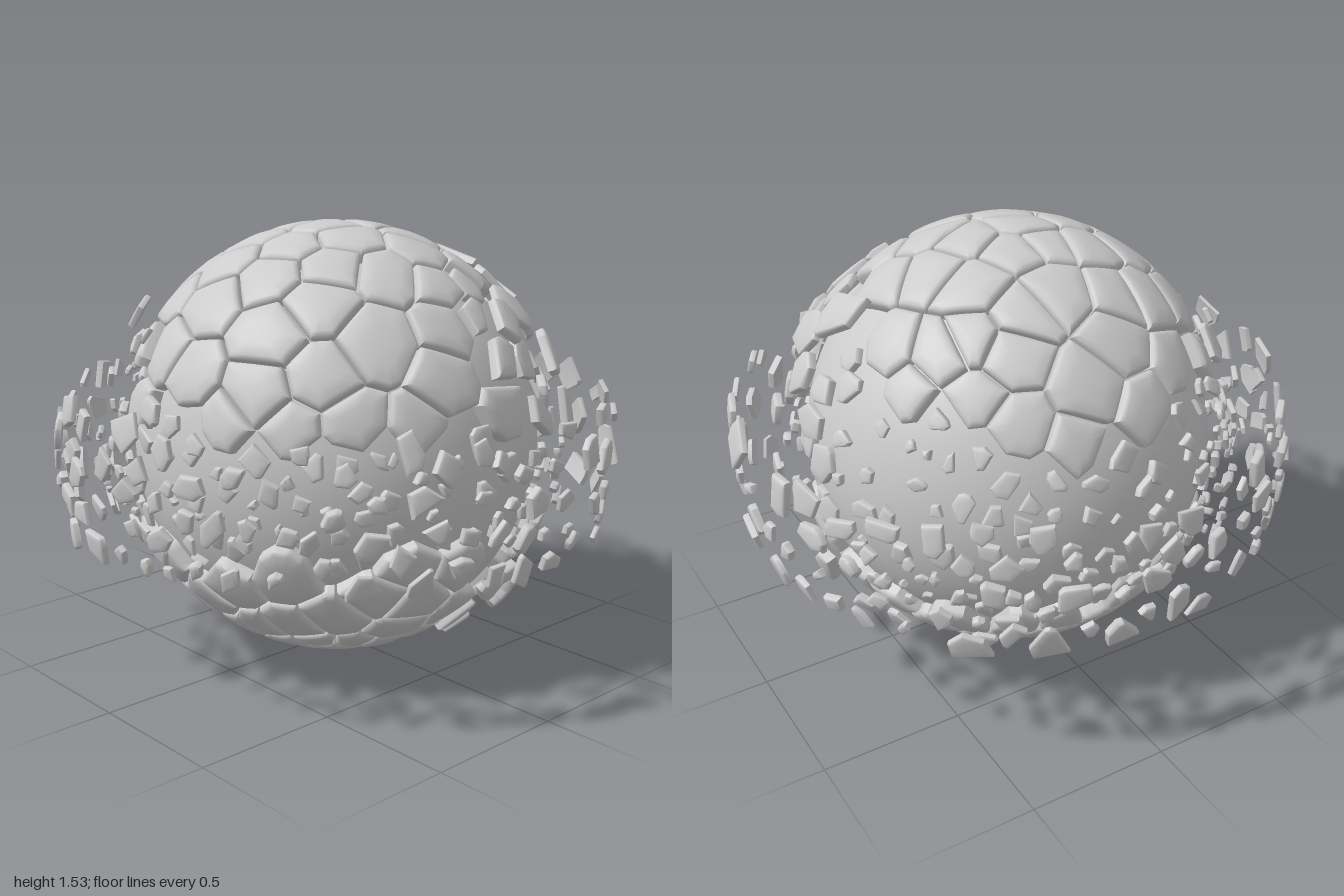
import * as THREE from 'three';
import { mergeGeometries, toCreasedNormals } from 'three/addons/utils/BufferGeometryUtils.js';

const V = (x, y, z) => new THREE.Vector3(x, y, z);
const R = 0.765;          // outer radius of the intact shell
const CORE = 0.714;       // radius of the inner ball

// seeded random numbers
let state = 7;
function rnd(a = 0, b = 1) {
  state = (state * 1664525 + 1013904223) % 4294967296;
  return a + (b - a) * state / 4294967296;
}
function randomDir(minY = -1, maxY = 1) {
  const y = rnd(minY, maxY), a = rnd(0, Math.PI * 2), r = Math.sqrt(1 - y * y);
  return V(r * Math.cos(a), y, r * Math.sin(a));
}

// centres (x, z) of the large plates on the upper cap
const CAP = [
  [-.32, -.43], [-.59, -.32], [-.45, -.26], [-.35, -.34], [-.03, -.32], [.19, -.2], [-.37, -.17],
  [-.35, -.02], [-.61, -.05], [-.53, .1], [-.13, -.05], [-.13, .07], [.01, .07], [.18, .12],
  [.33, -.1], [-.16, .22], [-.39, .19], [-.56, .32], [-.37, .32], [.08, .27], [-.11, .4],
  [.13, .42], [-.29, .5], [.4, .14], [.53, .32], [.6, .05], [.35, .4], [.32, .63],
  [.05, .7], [-.13, .66], [-.43, .55],
];

// which zone of the broken shell a direction falls in
const azimuth = d => Math.atan2(d.z, d.x) * 180 / Math.PI;
const inSector = az => az < -8 && az > -102;
function upperEdge(az) {
  if (inSector(az)) return 0.78;
  if (az < -102 && az > -150) return 0.55;
  if (Math.abs(az) >= 150) return 0.33;
  return az > 112 ? 0.48 : 0.22;
}
function zoneOf(d) {
  const az = azimuth(d), sector = inSector(az);
  const crack = az < -9 && az > -29;
  const lowerEdge = crack ? -0.84 : sector ? -0.32 : -0.42 + 0.08 * d.x;
  if (d.y > upperEdge(az)) return 'upper';
  if (d.y < lowerEdge) return 'lower';
  return sector && (d.y > 0.1 || d.y < -0.3) ? 'large' : 'small';
}
function spacing(zone, d) {
  if (zone === 'upper') return rnd(0.22, 0.32);
  if (zone === 'lower') return (0.14 + 0.32 * (1 + d.y)) * rnd(0.6, 1.1);
  if (zone === 'large') return d.y > 0 ? rnd(0.12, 0.24) : rnd(0.07, 0.13);
  return (0.1 + 0.02 * (1 - d.z)) * rnd(0.6, 1.4);
}

// scatter cell centres with a minimum distance
function scatter(seeds, tries, makeSeed) {
  for (let i = 0; i < tries; i++) {
    const s = makeSeed();
    if (seeds.every(o => o.dir.distanceTo(s.dir) > (o.gap + s.gap) / 2)) seeds.push(s);
  }
  return seeds;
}

// outline of the cell around one centre: a turned rectangle cut by the planes halfway to its neighbours
function cellOutline(seed, seeds, halfU, halfV, seam) {
  const c = seed.dir;
  const u = V(0, 1, 0).cross(c).normalize().applyAxisAngle(c, rnd(0, Math.PI)), v = c.clone().cross(u);
  let poly = [[-1, -1], [1, -1], [1, 1], [-1, 1]].map(([a, b]) =>
    c.clone().addScaledVector(u, a * halfU).addScaledVector(v, b * halfV));
  for (const o of seeds) {
    if (o === seed || o.dir.distanceTo(c) > 1.3) continue;
    const n = c.clone().sub(o.dir).normalize();
    const out = [];
    poly.forEach((p, i) => {
      const q = poly[(i + 1) % poly.length];
      const dp = p.dot(n) - seam, dq = q.dot(n) - seam;
      if (dp >= 0) out.push(p);
      if (dp * dq < 0) out.push(p.clone().lerp(q, dp / (dp - dq)));
    });
    poly = out;
  }
  // drop tiny edges
  return poly.filter((p, i) => p.distanceTo(poly[(i + 1) % poly.length]) > 0.012);
}

// closed curved plate between two radii, with a rounded outer rim
function plate(outline, segs, rIn, rOut, shrink, bevel) {
  const centre = outline.reduce((s, p) => s.add(p), V(0, 0, 0)).divideScalar(outline.length);
  const rim = [];
  outline.forEach((p, i) => {
    const q = outline[(i + 1) % outline.length];
    for (let k = 0; k < segs; k++) rim.push(centre.clone().lerp(p.clone().lerp(q, k / segs), shrink));
  });
  const size = rim.reduce((s, p) => s + p.distanceTo(centre), 0) / rim.length;
  const b = Math.min(0.35, bevel / size);
  const rings = [[0.5, rIn], [1, rIn], [1, rOut - bevel], [1 - b * 0.4, rOut - bevel * 0.4],
    [1 - b * 1.3, rOut - bevel * 0.1], [0.45, rOut]];
  const pos = [], idx = [], n = rim.length;
  const put = (p, r) => pos.push(...p.clone().normalize().multiplyScalar(r).toArray());
  for (const [t, r] of rings) for (const p of rim) put(centre.clone().lerp(p, t), r);
  const inner = pos.length / 3, outer = inner + 1;
  put(centre, rIn);
  put(centre, rOut);
  for (let i = 0; i < n; i++) {
    const j = (i + 1) % n, last = (rings.length - 1) * n;
    idx.push(inner, j, i, outer, last + i, last + j);
    for (let k = 0; k < rings.length - 1; k++) {
      const a = k * n + i, d = k * n + j;
      idx.push(a, d, d + n, a, d + n, a + n);
    }
  }
  const g = new THREE.BufferGeometry();
  g.setAttribute('position', new THREE.Float32BufferAttribute(pos, 3));
  g.setIndex(idx);
  return g;
}

// loose piece: a shrunken cell, slightly tilted about its own centre
function fragment(outline, dir, r, thick, shrink, tilt) {
  const g = plate(outline, 1, r - thick, r, shrink, thick * 0.35);
  const c = dir.clone().multiplyScalar(r - thick / 2);
  g.translate(-c.x, -c.y, -c.z);
  g.applyQuaternion(new THREE.Quaternion().setFromAxisAngle(randomDir(), rnd(-tilt, tilt)));
  return g.translate(c.x, c.y, c.z);
}

export function createModel() {
  state = 7;
  const model = new THREE.Group();
  const mat = new THREE.MeshStandardMaterial({ color: 0xcccccc });
  const add = (name, geo) => {
    const m = new THREE.Mesh(geo, mat);
    m.name = name;
    m.position.y = R;
    model.add(m);
  };
  add('innerBall', new THREE.SphereGeometry(CORE, 64, 40));

  // shell cells: intact plates on both caps first, then broken pieces in the belt between
  const seeds = CAP.map(([x, z]) => ({
    dir: V(x, Math.sqrt(R * R - x * x - z * z), z).normalize(), gap: 0.2, zone: 'upper',
  }));
  const isIntact = zone => zone === 'upper' || zone === 'lower';
  for (const intact of [true, false]) {
    scatter(seeds, 6000, () => {
      let dir, zone;
      do {
        dir = randomDir();
        zone = zoneOf(dir);
      } while (isIntact(zone) !== intact);
      return { dir, zone, gap: spacing(zone, dir) };
    });
  }
  const parts = { upper: [], lower: [], large: [], small: [] };
  for (const s of seeds) {
    const intact = isIntact(s.zone);
    const outline = intact ? cellOutline(s, seeds, 0.5, 0.5, 0.005)
      : cellOutline(s, seeds, 0.2, rnd(0.06, 0.2), 0.002);
    if (outline.length < 3) continue;
    if (intact) parts[s.zone].push(plate(outline, 4, CORE - 0.01, R, 1, 0.02));
    else if (s.zone === 'large')
      parts.large.push(fragment(outline, s.dir, rnd(0.75, 0.85), rnd(0.025, 0.04), rnd(0.6, 0.9), 0.15));
    else
      parts.small.push(fragment(outline, s.dir, rnd(0.735, 0.85), rnd(0.015, 0.03), rnd(0.25, 0.65), 0.3));
  }

  // thin outer ring of debris around the equator, coarser behind the broken sector
  const ringSeeds = scatter([], 2500, () => {
    const dir = randomDir(-0.25, 0.17);
    return { dir, gap: rnd(0.07, 0.15) * (inSector(azimuth(dir)) ? 1.3 : 1) };
  });
  const ring = [];
  for (const s of ringSeeds) {
    const outline = cellOutline(s, ringSeeds, 0.1, rnd(0.04, 0.1), 0.002);
    if (outline.length > 2)
      ring.push(fragment(outline, s.dir, rnd(0.975, 1), rnd(0.015, 0.03), rnd(0.3, 0.75), 0.25));
  }

  const join = list => toCreasedNormals(mergeGeometries(list), 0.75);
  add('upperShellPlates', join(parts.upper));
  add('lowerShellPlates', join(parts.lower));
  add('largeFragments', join(parts.large));
  add('smallFragments', join(parts.small));
  add('outerDebrisRing', join(ring));
  return model;
}
